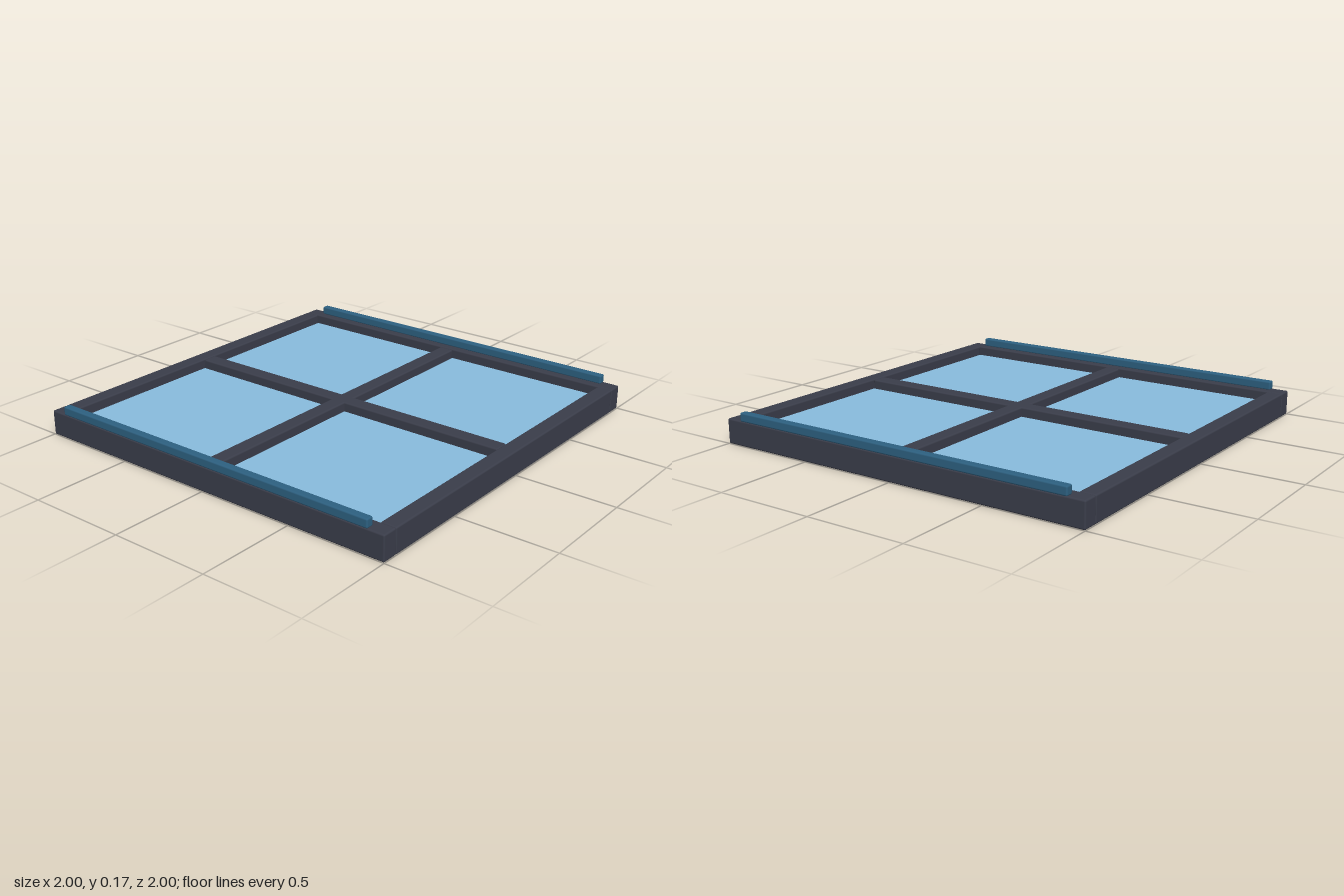
import * as THREE from 'three';
import { RoundedBoxGeometry } from 'three/addons/geometries/RoundedBoxGeometry.js';

export function createModel() {
  const model = new THREE.Group();
  model.name = 'windowPanel';

  const frameMat = new THREE.MeshStandardMaterial({ color: 0x3a3d4a });
  const railMat = new THREE.MeshStandardMaterial({ color: 0x2d6080 });
  const glassMat = new THREE.MeshStandardMaterial({ color: 0x88bbdd });
  const backMat = new THREE.MeshStandardMaterial({ color: 0x111114 });

  const H = 0.125; // frame height
  const W = 0.08; // bar width
  const inner = 1 - W;

  function bar(name, w, h, d, x, y, z, mat, r = 0.008) {
    const mesh = new THREE.Mesh(new RoundedBoxGeometry(w, h, d, 2, r), mat);
    mesh.name = name;
    mesh.position.set(x, y, z);
    model.add(mesh);
  }

  // Outer frame and the raised rails on its front and back bars
  for (const [s, end, side] of [[1, 'front', 'left'], [-1, 'back', 'right']]) {
    bar(end + 'FrameBar', 2, H, W, 0, H / 2, s * (1 - W / 2), frameMat);
    bar(side + 'FrameBar', W, H, 2 * inner, s * (1 - W / 2), H / 2, 0, frameMat);
    bar(end + 'Rail', 1.83, 0.045, 0.04, 0, 0.1445, s * 0.98, railMat);
  }

  // Crossing dividers
  bar('crosswiseDivider', 2 * inner, H - 0.005, W, 0, H / 2, 0, frameMat);
  bar('lengthwiseDivider', W, H - 0.005, 2 * inner, 0, H / 2, 0, frameMat);

  // Four panes, each glass above and a dark backing below
  const size = inner - W / 2;
  const mid = (inner + W / 2) / 2;
  const paneGeo = new THREE.PlaneGeometry(size, size);
  for (const sx of [-1, 1]) {
    for (const sz of [-1, 1]) {
      const glass = new THREE.Mesh(paneGeo, glassMat);
      glass.name = 'glassPane';
      glass.rotation.x = -Math.PI / 2;
      glass.position.set(sx * mid, 0.075, sz * mid);
      const backing = new THREE.Mesh(paneGeo, backMat);
      backing.name = 'paneBacking';
      backing.rotation.x = Math.PI / 2;
      backing.position.set(sx * mid, 0.01, sz * mid);
      model.add(glass, backing);
    }
  }
  return model;
}
